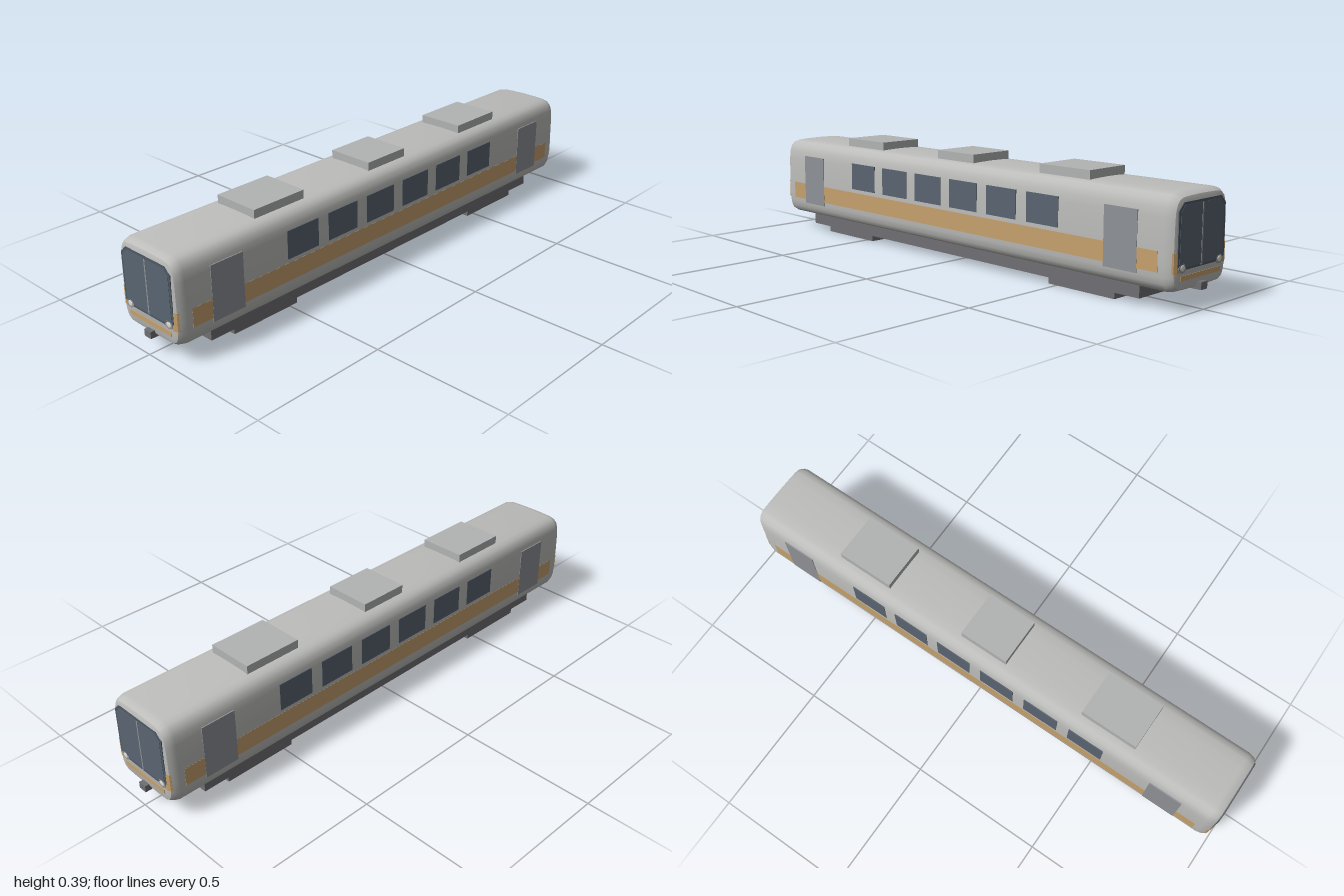
import * as THREE from 'three';
import { toCreasedNormals } from 'three/addons/utils/BufferGeometryUtils.js';

const mat = (color) => new THREE.MeshStandardMaterial({ color });

// Lofted car body: one rounded section, drawn in at both ends
function bodyGeometry() {
  const half = [[0.06, 0.364], [0.095, 0.362], [0.115, 0.357], [0.13, 0.343], [0.138, 0.32],
    [0.141, 0.29], [0.1425, 0.22], [0.1425, 0.15], [0.141, 0.11], [0.137, 0.09],
    [0.129, 0.074], [0.112, 0.064], [0.06, 0.062]];
  const ring = [[0, 0.365], ...half, [0, 0.062], ...half.slice().reverse().map(([z, y]) => [-z, y])];
  const ends = [[0.984, 0.022], [0.98, 0.011], [0.968, 0.004], [0.95, 0]]; // x, inset
  const stations = [...ends.map(([x, d]) => [-x, d]), ...ends.slice().reverse()];
  const n = ring.length, pos = [], index = [];
  for (const [x, d] of stations) {
    for (const [z, y] of ring) {
      pos.push(x, 0.2125 + (y - 0.2125) * (1 - d / 0.151), z * (1 - d / 0.142));
    }
  }
  for (let i = 0; i < stations.length - 1; i++) {
    for (let j = 0; j < n; j++) {
      const k = (j + 1) % n;
      const a = i * n + j, b = i * n + k, c = a + n, e = b + n;
      index.push(a, b, c, b, e, c);
    }
  }
  // flat end caps
  const last = (stations.length - 1) * n, centre = pos.length / 3;
  pos.push(-0.984, 0.2125, 0, 0.984, 0.2125, 0);
  for (let j = 0; j < n; j++) {
    const k = (j + 1) % n;
    index.push(centre, k, j, centre + 1, last + j, last + k);
  }
  const g = new THREE.BufferGeometry();
  g.setAttribute('position', new THREE.Float32BufferAttribute(pos, 3));
  g.setIndex(index);
  return toCreasedNormals(g, 0.6);
}

// Octagonal pane facing +x, with chamfered corners
function paneGeometry(w, y0, y1, c, depth) {
  const s = new THREE.Shape([[-w + c, y0], [w - c, y0], [w, y0 + c * 0.6], [w, y1 - c],
    [w - c, y1], [-w + c, y1], [-w, y1 - c], [-w, y0 + c * 0.6]].map(([x, y]) => new THREE.Vector2(x, y)));
  return new THREE.ExtrudeGeometry(s, { depth, bevelEnabled: false }).rotateY(Math.PI / 2);
}

export function createModel() {
  const root = new THREE.Group();
  const bodyGrey = mat(0xbdbdbb), glass = mat(0x5a6571), frameDark = mat(0x4e5964), amber = mat(0xc6a16e);
  const doorGrey = mat(0x8f9297), dark = mat(0x707074), roofGrey = mat(0xb2b4b4), lamp = mat(0xe0ddd2);
  const darkShell = new THREE.MeshStandardMaterial({ color: 0x707074, side: THREE.DoubleSide });

  const add = (parent, name, geometry, material) => {
    const m = new THREE.Mesh(geometry, material);
    m.name = name;
    parent.add(m);
    return m;
  };
  // Box given by its limits on each axis
  const box = (parent, name, material, x0, x1, y0, y1, z0, z1) => {
    const m = add(parent, name, new THREE.BoxGeometry(x1 - x0, y1 - y0, z1 - z0), material);
    m.position.set((x0 + x1) / 2, (y0 + y1) / 2, (z0 + z1) / 2);
    return m;
  };
  // Box without its bottom face
  const shell = (...args) => {
    const g = box(...args).geometry;
    const faces = Array.from(g.index.array);
    faces.splice(18, 6);
    g.setIndex(faces);
    g.clearGroups();
  };

  add(root, 'body', bodyGeometry(), bodyGrey);

  // Hollow underframe and bogie skirts, open below
  shell(root, 'underframe', darkShell, -0.84, 0.84, 0.022, 0.0615, -0.107, 0.107);
  for (const x of [-0.605, 0.603]) {
    shell(root, 'bogie', darkShell, x - 0.138, x + 0.138, 0, 0.061, -0.103, 0.103);
  }
  // Roof units
  for (const [x, w] of [[-0.517, 0.108], [-0.002, 0.094], [0.513, 0.108]]) {
    box(root, 'roofUnit', roofGrey, x - w, x + w, 0.355, 0.393, -0.088, 0.088);
  }

  // Sides: stripe, doors and windows
  for (const side of [1, -1]) {
    const group = new THREE.Group();
    group.name = side > 0 ? 'frontSide' : 'backSide';
    if (side < 0) group.rotation.y = Math.PI;
    box(group, 'sideStripe', amber, -0.93, 0.93, 0.125, 0.19, 0.139, 0.1431);
    for (const x of [-0.789, 0.789]) {
      box(group, 'door', doorGrey, x - 0.064, x + 0.064, 0.11, 0.305, 0.138, 0.1437);
    }
    for (let i = 0; i < 6; i++) {
      const x = (i - 2.5) * 0.187;
      box(group, 'sideWindow', glass, x - 0.07, x + 0.07, 0.204, 0.305, 0.138, 0.1433);
    }
    root.add(group);
  }

  // Cab ends
  for (const end of [1, -1]) {
    const cab = new THREE.Group();
    cab.name = end > 0 ? 'leftCab' : 'rightCab';
    if (end < 0) cab.rotation.y = Math.PI;
    add(cab, 'windscreenFrame', paneGeometry(0.12, 0.133, 0.337, 0.024, 0.008), frameDark).position.x = 0.978;
    add(cab, 'windscreen', paneGeometry(0.111, 0.141, 0.329, 0.02, 0.008), glass).position.x = 0.979;
    box(cab, 'windscreenPillar', doorGrey, 0.98, 0.988, 0.137, 0.328, -0.003, 0.003);
    box(cab, 'endStripe', amber, 0.975, 0.9855, 0.1, 0.116, -0.103, 0.103);
    box(cab, 'coupler', dark, 0.96, 1, 0.062, 0.086, -0.016, 0.016);
    for (const s of [1, -1]) {
      // Stripe patch on the end corner
      const plan = new THREE.Shape([[0.97, 0.11], [0.9852, 0.11], [0.9852, 0.121], [0.981, 0.1325],
        [0.976, 0.1355], [0.97, 0.13]].map(([x, z]) => new THREE.Vector2(x, -z * s)));
      const patch = new THREE.ExtrudeGeometry(plan, { depth: 0.065, bevelEnabled: false });
      add(cab, 'cornerStripe', patch.rotateX(-Math.PI / 2), amber).position.y = 0.125;
      // Headlight with rim
      const rim = new THREE.CylinderGeometry(0.018, 0.018, 0.012, 24).rotateZ(-Math.PI / 2);
      add(cab, 'headlightRim', rim.scale(1, 0.82, 1), doorGrey).position.set(0.981, 0.14, s * 0.096);
      const lens = new THREE.SphereGeometry(0.011, 20, 12).scale(0.2, 0.9, 1);
      add(cab, 'headlight', lens, lamp).position.set(0.987, 0.14, s * 0.096);
    }
    root.add(cab);
  }
  return root;
}
